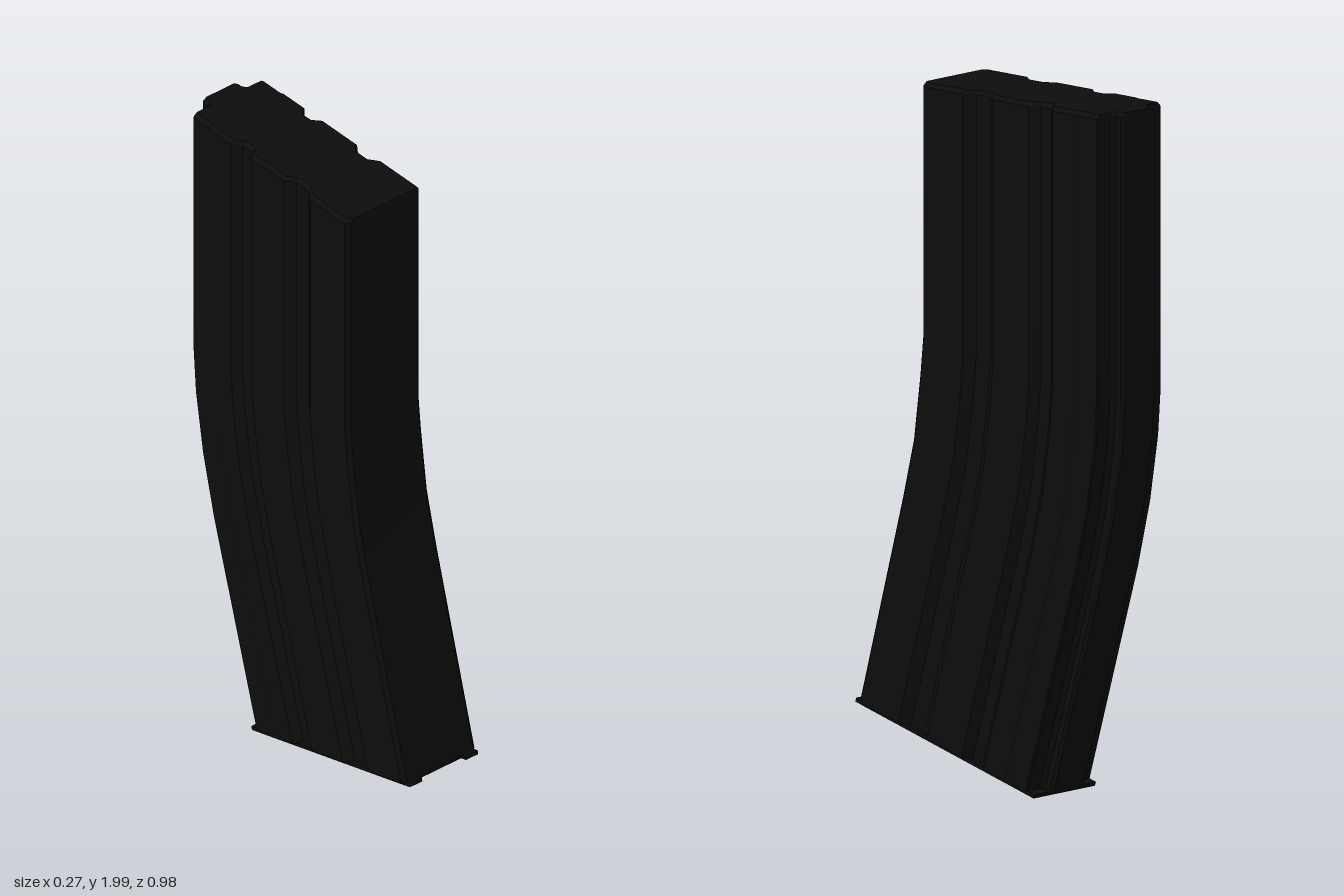
import * as THREE from 'three';
import { toCreasedNormals } from 'three/addons/utils/BufferGeometryUtils.js';

// Half cross-section: [half width, depth from front to back]
const DEPTH = 0.72;
const half = [
  [0.122, 0], [0.134, 0.012],
  [0.134, 0.165], [0.112, 0.195], [0.112, 0.25], [0.134, 0.28],
  [0.134, 0.42], [0.112, 0.445], [0.112, 0.485], [0.134, 0.51],
  [0.134, 0.59], [0.13, 0.6], [0.13, 0.677], [0.126, 0.681],
  [0.08, 0.681], [0.067, 0.693], [0.067, 0.71], [0.06, 0.72],
];
const section = [...half, ...half.map(([x, d]) => [-x, d]).reverse()];

// Stations from top to bottom: [front z, front y, back z, back y, inset]
const stations = [
  [0.232, 2, -0.488, 2, 0.01],
  [0.232, 1.988, -0.488, 1.988, 0],
  [0.232, 1.27, -0.488, 1.18, 0],
  [0.243, 1.16, -0.478, 1.04, 0],
  [0.268, 0.97, -0.447, 0.85, 0],
  [0.31, 0.8, -0.4, 0.655, 0],
  [0.475, 0.198, -0.211, 0.018, 0],
];

// Sweeps the section through the stations and closes both ends
function sweptBody() {
  const pos = [], idx = [], n = section.length;
  for (const [fz, fy, bz, by, inset] of stations) {
    for (const [x, d] of section) {
      const t = 0.5 + (d / DEPTH - 0.5) * (1 - inset);
      pos.push(x - Math.sign(x) * inset, fy + (by - fy) * t, fz + (bz - fz) * t);
    }
  }
  for (let k = 0; k < stations.length - 1; k++) {
    for (let i = 0; i < n; i++) {
      const j = (i + 1) % n, a = k * n + i, b = k * n + j;
      idx.push(a, a + n, b, b, a + n, b + n);
    }
  }
  const last = (stations.length - 1) * n;
  const contour = section.map(([x, d]) => new THREE.Vector2(x, d));
  for (const [a, b, c] of THREE.ShapeUtils.triangulateShape(contour, [])) {
    idx.push(a, b, c, last + a, last + c, last + b);
  }
  const geo = new THREE.BufferGeometry();
  geo.setAttribute('position', new THREE.Float32BufferAttribute(pos, 3));
  geo.setIndex(idx);
  return toCreasedNormals(geo, 0.35);
}

export function createModel() {
  const model = new THREE.Group();
  const black = new THREE.MeshStandardMaterial({ color: 0x0d0d0d });
  black.name = 'black';

  const body = new THREE.Mesh(sweptBody(), black);
  body.name = 'curvedBody';
  model.add(body);

  // Floor plate assembly, tilted to match the lower end
  const [fz, fy, bz, by] = stations[stations.length - 1];
  const floor = new THREE.Group();
  floor.name = 'floorPlate';
  floor.position.set(0, fy, fz);
  floor.rotation.x = -Math.atan2(fy - by, fz - bz);
  model.add(floor);

  const box = (name, w, h, d, x, y, z) => {
    const mesh = new THREE.Mesh(new THREE.BoxGeometry(w, h, d), black);
    mesh.name = name;
    mesh.position.set(x, y, z);
    floor.add(mesh);
  };
  box('plate', 0.25, 0.012, 0.69, 0, -0.004, -0.352);
  box('frontRidge', 0.22, 0.014, 0.06, 0, -0.01, -0.06);
  box('rearRidge', 0.18, 0.014, 0.07, 0, -0.011, -0.53);
  for (const side of [-1, 1]) {
    box('frontTab', 0.045, 0.012, 0.05, side * 0.102, -0.004, -0.01);
  }
  return model;
}
